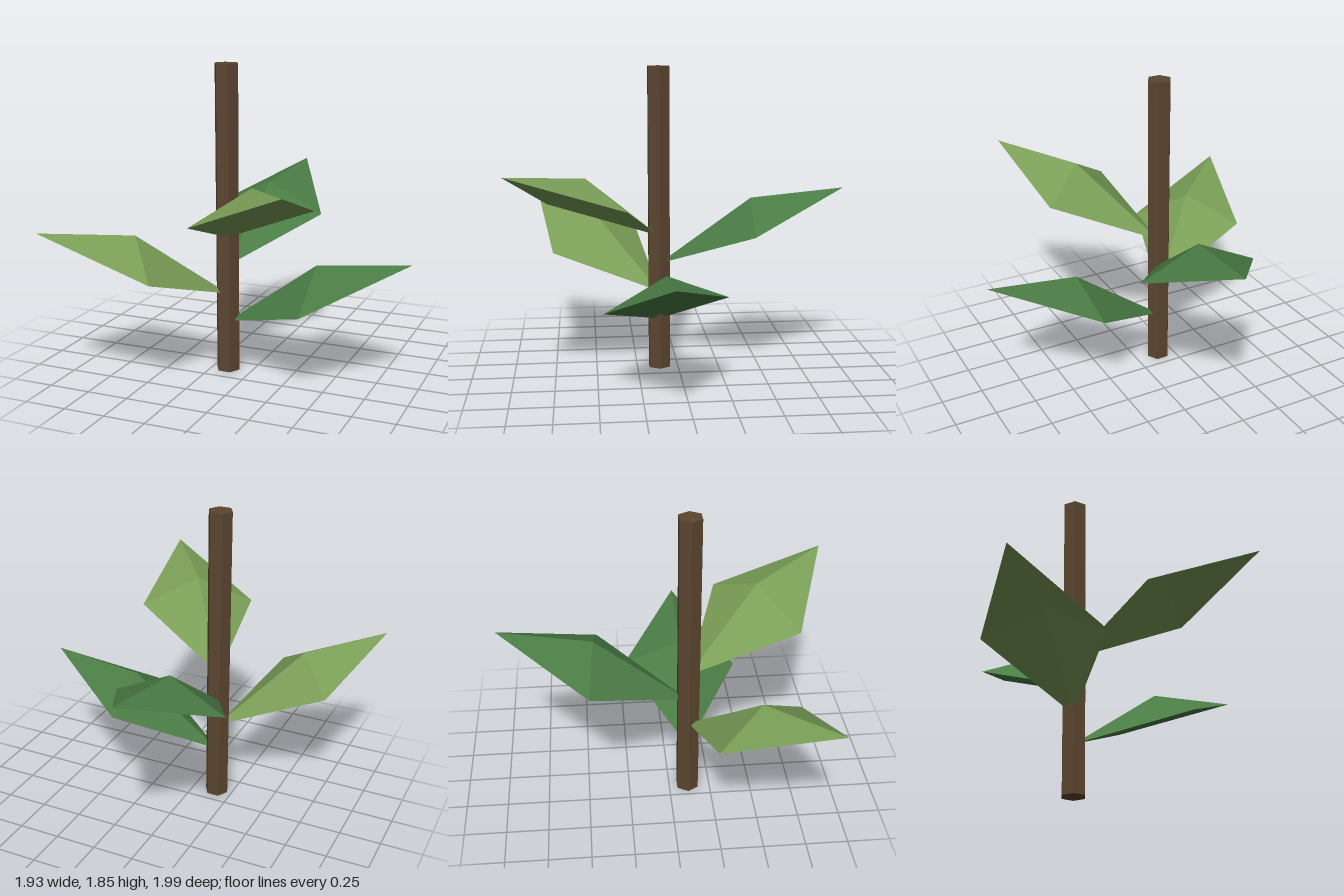
import * as THREE from 'three';

const STEM_X = -0.15, STEM_Z = 0.113, STEM_HEIGHT = 1.845;

function material(color, side = THREE.FrontSide) {
  const m = new THREE.MeshStandardMaterial({ flatShading: true, side });
  m.color.set(color);
  return m;
}

// Folded diamond leaf growing along +x from the origin; roll tips one edge up and the other down
function leafGeometry(roll) {
  const root = [0, 0, 0];
  const crease = [0.555, 0.408, 0];
  const tip = [1.112, 0.47, 0];
  const sideA = [0.557 - roll * 0.5, 0.238 + roll, 0.355];
  const sideB = [0.557 + roll * 0.5, 0.238 - roll, -0.355];
  const faces = [
    [root, sideA, crease], [crease, sideA, tip],
    [root, crease, sideB], [crease, tip, sideB],
  ];
  const geometry = new THREE.BufferGeometry();
  geometry.setAttribute('position', new THREE.Float32BufferAttribute(faces.flat(2), 3));
  geometry.computeVertexNormals();
  return geometry;
}

export function createModel() {
  const model = new THREE.Group();
  model.name = 'plant';

  // Six-sided stem
  const stem = new THREE.Mesh(
    new THREE.CylinderGeometry(0.073, 0.073, STEM_HEIGHT, 6, 1, false, Math.PI / 6),
    material(0x5c4630)
  );
  stem.name = 'stem';
  stem.position.set(STEM_X, STEM_HEIGHT / 2, STEM_Z);
  model.add(stem);

  // Leaves climb the stem in equal steps, each pointing its own way
  const dark = material(0x4a7c45, THREE.DoubleSide);
  const light = material(0x7a9e57, THREE.DoubleSide);
  const leaves = [
    { name: 'leftLeaf', dx: 1, dz: 0, roll: -0.035, mat: dark },
    { name: 'frontRightLeaf', dx: -0.82, dz: 0.75, roll: 0.027, mat: light },
    { name: 'backLeaf', dx: 0.1, dz: -1.113, roll: -0.005, mat: dark },
    { name: 'frontLeftLeaf', dx: 0.677, dz: 0.882, roll: -0.022, mat: light },
  ];
  leaves.forEach(({ name, dx, dz, roll, mat }, i) => {
    const leaf = new THREE.Mesh(leafGeometry(roll), mat);
    leaf.name = name;
    leaf.position.set(STEM_X, 0.302 + 0.174 * i, STEM_Z);
    leaf.rotation.y = Math.atan2(-dz, dx);
    model.add(leaf);
  });

  return model;
}
